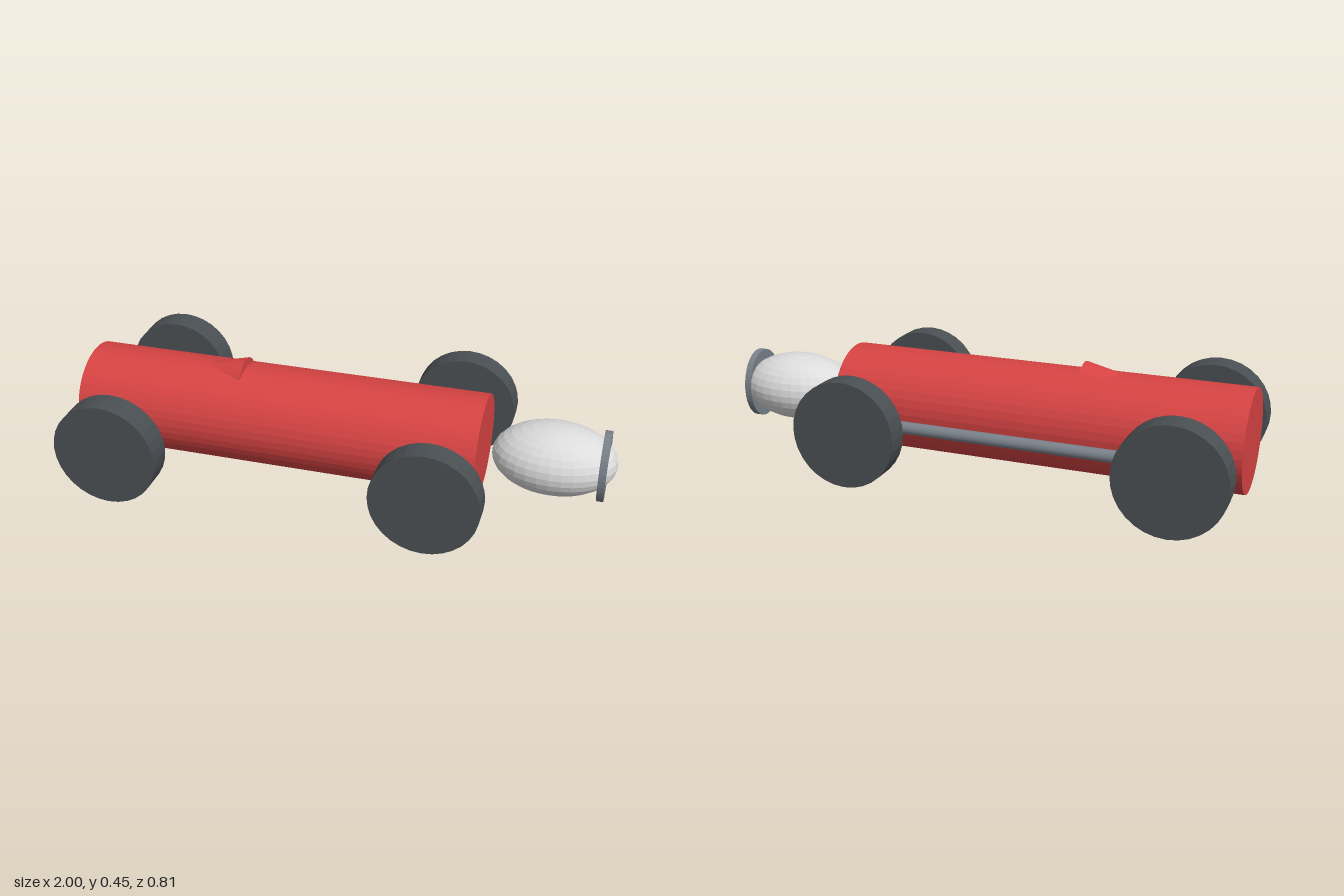
import * as THREE from 'three';

const mat = (name, color) => {
  const m = new THREE.MeshStandardMaterial({ color, flatShading: true });
  m.name = name;
  return m;
};

export function createModel() {
  const car = new THREE.Group();
  car.name = 'racingCar';
  const red = mat('red paint', 0xd64343);
  const rubber = mat('dark rubber', 0x4a4f53);
  const silver = mat('light silver', 0xdcdcdc);
  const steel = mat('steel grey', 0x7a818a);

  const add = (name, geometry, material, x, y, z) => {
    const mesh = new THREE.Mesh(geometry, material);
    mesh.name = name;
    mesh.position.set(x, y, z);
    car.add(mesh);
    return mesh;
  };
  // Cylinder lying along x, with its own height and depth radii
  const rod = (length, ry, rz, sides = 32) =>
    new THREE.CylinderGeometry(1, 1, length, sides).rotateZ(-Math.PI / 2).scale(1, ry, rz);

  // Long oval fuselage
  add('body', rod(1.52, 0.187, 0.198, 40), red, -0.24, 0.23, 0);

  // Headrest fairing: a cone sunk into the top of the body, flat side forward
  add('headrest', new THREE.ConeGeometry(0.09, 0.39, 32).rotateZ(Math.PI / 2), red, -0.585, 0.358, 0);

  // Egg-shaped nose with a grille disc near its tip
  add('nose', new THREE.SphereGeometry(1, 32, 16).scale(0.225, 0.128, 0.16), silver, 0.775, 0.222, 0);
  add('grille', rod(0.026, 0.135, 0.108), steel, 0.953, 0.215, 0);

  // Exhaust pipe along the far side
  add('exhaustPipe', rod(1.245, 0.023, 0.023, 24), steel, -0.188, 0.189, -0.218);

  // Wheels, slightly wider at the rear
  for (const [end, x, width] of [['rear', -0.803, 0.102], ['front', 0.383, 0.09]]) {
    for (const side of [1, -1]) {
      const wheel = new THREE.CylinderGeometry(0.198, 0.198, width, 32).rotateX(Math.PI / 2);
      add(`${end}Wheel`, wheel, rubber, x, 0.198, side * 0.354);
    }
  }
  return car;
}
